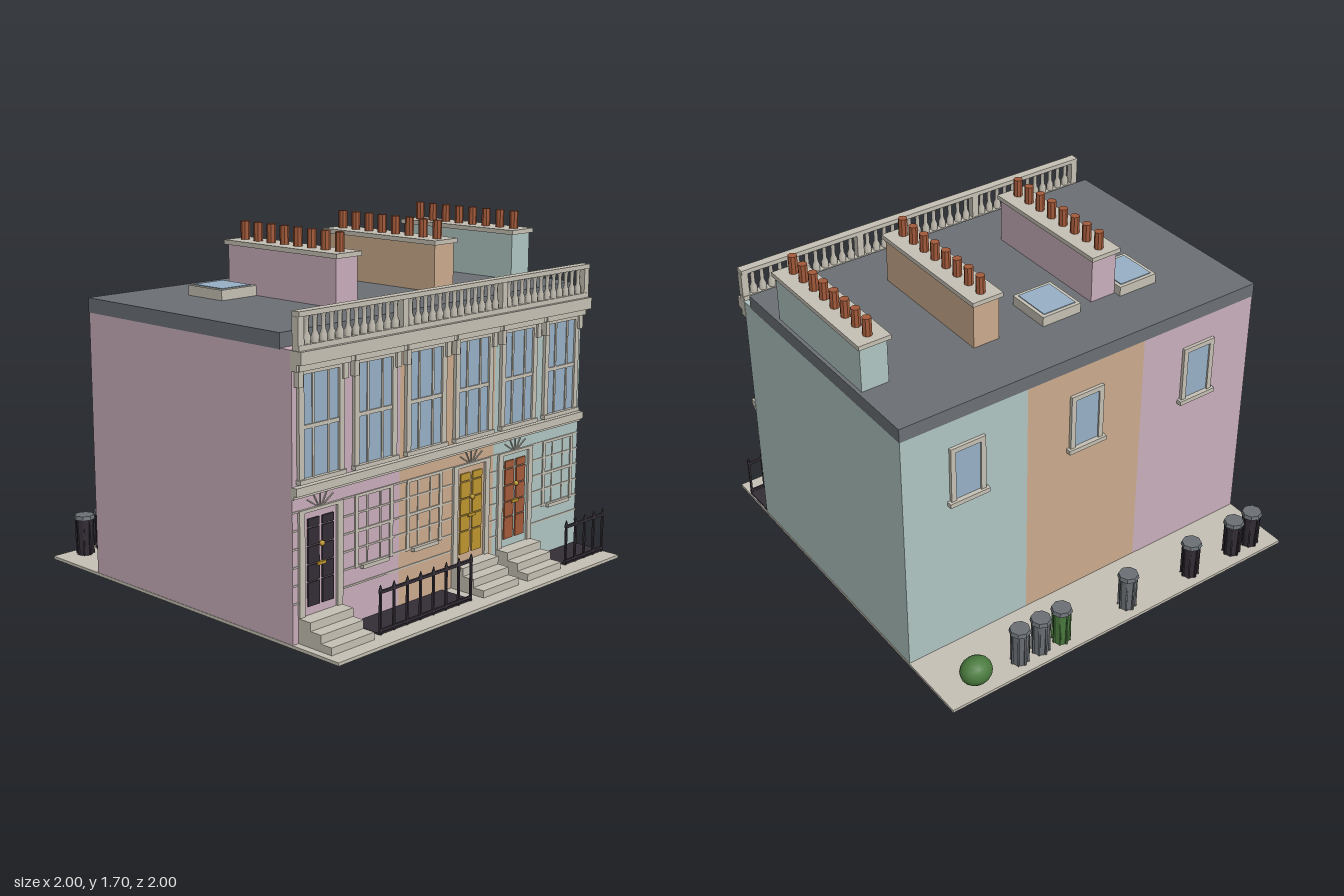
import * as THREE from 'three';

const mat = (name, color) => {
  const m = new THREE.MeshStandardMaterial({ color });
  m.name = name;
  return m;
};

export function createModel() {
  const pink = mat('pinkRender', 0xc9aebb), tan = mat('tanRender', 0xcbab8d), mint = mat('mintRender', 0xb0c5c2);
  const stone = mat('stone', 0xc5c0b4), slate = mat('slate', 0x6b7075), glass = mat('glass', 0x97b0c6);
  const dark = mat('darkIron', 0x332d36), gold = mat('yellow', 0xbd962f), rust = mat('terracotta', 0xa35a3a);
  const green = mat('green', 0x4a7a3e);
  const model = new THREE.Group();
  model.name = 'terrace';

  const group = (name, x = 0, y = 0, z = 0, parent = model) => {
    const g = new THREE.Group();
    g.name = name;
    g.position.set(x, y, z);
    parent.add(g);
    return g;
  };
  const add = (name, geo, m, parent = model) => {
    const mesh = new THREE.Mesh(geo, m);
    mesh.name = name;
    parent.add(mesh);
    return mesh;
  };
  // Box given by its limits on each axis
  const box = (name, x0, x1, y0, y1, z0, z1, m, parent = model) => {
    const b = add(name, new THREE.BoxGeometry(x1 - x0, y1 - y0, z1 - z0), m, parent);
    b.position.set((x0 + x1) / 2, (y0 + y1) / 2, (z0 + z1) / 2);
    return b;
  };
  // Faceted round part
  const round = (name, rTop, rBottom, y0, y1, sides, m, parent, x = 0, z = 0) => {
    const geo = new THREE.CylinderGeometry(rTop, rBottom, y1 - y0, sides).toNonIndexed();
    geo.computeVertexNormals();
    const c = add(name, geo, m, parent);
    c.position.set(x, (y0 + y1) / 2, z);
    return c;
  };

  // Ground, walls and roof
  box('pavement', -1, 1, 0, 0.015, -1, 1, stone);
  [pink, tan, mint].forEach((m, i) => {
    const x0 = [-0.998, -0.333, 0.33][i], x1 = [-0.333, 0.33, 0.998][i];
    box('houseWall', x0, x1, 0.015, 1.298, -0.638, 0.725, m);
  });
  box('roof', -1, 1, 1.293, 1.363, -0.64, 0.658, slate);

  // Chimney stacks with a row of pots
  [[-0.337, pink], [0.328, tan], [0.913, mint]].forEach(([x, m]) => {
    const g = group('chimney', x);
    box('stack', -0.069, 0.069, 1.36, 1.588, -0.32, 0.4, m, g);
    box('chimneyCap', -0.082, 0.082, 1.588, 1.61, -0.337, 0.413, stone, g);
    for (let i = 0; i < 8; i++) round('chimneyPot', 0.022, 0.022, 1.61, 1.698, 8, rust, g, 0, 0.354 - i * 0.09);
  });

  // Skylights
  for (const x of [-0.517, -0.067]) {
    box('skylightFrame', x - 0.108, x + 0.108, 1.36, 1.412, -0.36, -0.125, stone);
    box('skylightGlass', x - 0.09, x + 0.09, 1.41, 1.416, -0.342, -0.143, glass);
  }

  // Cornice and balustrade
  box('corniceTop', -1, 1, 1.24, 1.297, 0.72, 0.785, stone);
  box('corniceLower', -1, 1, 1.21, 1.24, 0.72, 0.757, stone);
  const parapet = group('balustrade', 0, 0, 0.747);
  box('bottomRail', -0.995, 0.995, 1.295, 1.32, -0.02, 0.02, stone, parapet);
  box('topRail', -0.995, 0.995, 1.44, 1.462, -0.023, 0.023, stone, parapet);
  const profile = [[0.018, 0], [0.018, 0.03], [0.01, 0.05], [0.01, 0.1], [0.015, 0.12]]
    .map(([r, y]) => new THREE.Vector2(r, y));
  const balusterGeo = new THREE.LatheGeometry(profile, 6);
  for (let i = 0; i <= 40; i++) {
    const x = -0.98 + i * 0.049;
    if (i === 0 || i === 13 || i === 27 || i === 40) box('pier', x - 0.018, x + 0.018, 1.32, 1.44, -0.018, 0.018, stone, parapet);
    else add('baluster', balusterGeo, stone, parapet).position.set(x, 1.32, 0);
  }

  // Band between the floors
  box('stringCourse', -1, 1, 0.677, 0.714, 0.72, 0.755, stone);
  box('stringCourseLower', -1, 1, 0.662, 0.677, 0.72, 0.738, stone);

  // Upper sash windows
  for (let i = 0; i < 6; i++) {
    const g = group('upperWindow', -0.835 + i * 0.333, 0, 0.725);
    box('pane', -0.105, 0.105, 0.74, 1.19, 0, 0.006, glass, g);
    for (const s of [-1, 1]) {
      const at = (c, w, y0, y1, z1, n) => box(n, s * c - w, s * c + w, y0, y1, 0, z1, stone, g);
      at(0.12, 0.015, 0.735, 1.2, 0.016, 'jamb');
      at(0.046, 0.006, 0.74, 1.19, 0.011, 'glazingBar');
      at(0.134, 0.014, 1.14, 1.212, 0.027, 'bracket');
    }
    box('meetingRail', -0.105, 0.105, 0.955, 0.973, 0, 0.013, stone, g);
    box('windowHead', -0.135, 0.135, 1.19, 1.212, 0, 0.016, stone, g);
    box('hood', -0.154, 0.154, 1.21, 1.236, 0, 0.04, stone, g);
    box('sill', -0.14, 0.14, 0.722, 0.742, 0, 0.026, stone, g);
  }

  // Ground floor joint lines, interrupted by the doors
  const doors = [[-0.835, dark], [0.163, gold], [0.492, rust]];
  const spans = [[-1, -0.965], [-0.705, 0.033], [0.293, 0.362], [0.622, 1]];
  for (let row = 0; row < 6; row++) {
    const y = 0.197 + row * 0.081;
    for (const [a, b] of spans) box('jointLine', a, b, y - 0.004, y + 0.004, 0.725, 0.729, stone);
  }

  // Ground floor windows, blind with raised bars
  for (const x of [-0.5, -0.165, 0.835]) {
    const g = group('lowerWindow', x, 0, 0.725);
    for (const s of [-1, 1]) {
      box('jamb', s * 0.112 - 0.01, s * 0.112 + 0.01, 0.27, 0.605, 0, 0.006, stone, g);
      box('glazingBar', s * 0.042 - 0.004, s * 0.042 + 0.004, 0.27, 0.6, 0, 0.004, stone, g);
    }
    box('windowHead', -0.122, 0.122, 0.592, 0.606, 0, 0.006, stone, g);
    box('meetingRail', -0.112, 0.112, 0.432, 0.446, 0, 0.006, stone, g);
    box('sill', -0.085, 0.085, 0.262, 0.28, 0, 0.02, stone, g);
  }

  // Panelled doors, fanlight bars and steps
  for (const [x, m] of doors) {
    const g = group('door', x, 0, 0.725);
    const rows = [0.165, 0.278, 0.356, 0.438, 0.52, 0.562];
    for (const s of [-1, 1]) {
      for (let i = 0; i < 5; i++)
        box('doorPanel', s * 0.043 - 0.034, s * 0.043 + 0.034, rows[i] + 0.003, rows[i + 1] - 0.003, 0, 0.008, m, g);
      box('pilaster', s * 0.115 - 0.016, s * 0.115 + 0.016, 0.13, 0.605, 0, 0.012, stone, g);
    }
    box('doorHead', -0.131, 0.131, 0.59, 0.605, 0, 0.012, stone, g);
    add('knob', new THREE.SphereGeometry(0.013, 8, 6), gold, g).position.set(0, 0.438, 0.014);
    box('letterPlate', -0.026, 0.026, 0.343, 0.357, 0, 0.013, gold, g);
    for (let i = -2; i <= 2; i++) {
      const bar = add('fanlightBar', new THREE.BoxGeometry(0.005, 0.075, 0.005), stone, g);
      bar.rotation.z = -i * 0.5;
      bar.position.set(Math.sin(i * 0.5) * 0.055, 0.605 + Math.cos(i * 0.5) * 0.035, 0.003);
    }
    for (let i = 0; i < 3; i++)
      box('step', -0.13, 0.13, 0.015, 0.05 + i * 0.039, 0, 0.2 - i * 0.063, stone, g);
  }

  // Sunken areas with iron railings
  for (const [x0, x1, n] of [[-0.65, -0.03, 8], [0.682, 0.995, 5]]) {
    const g = group('railing', 0, 0, 0.903);
    box('areaFloor', x0, x1, 0.015, 0.022, -0.178, 0, dark, g);
    box('topBar', x0, x1, 0.203, 0.216, -0.006, 0.006, dark, g);
    box('bottomBar', x0, x1, 0.028, 0.04, -0.005, 0.005, dark, g);
    for (let i = 0; i < n; i++) {
      const x = x0 + 0.006 + (x1 - x0 - 0.012) * i / (n - 1);
      box('railingPost', x - 0.005, x + 0.005, 0.015, 0.22, -0.005, 0.005, dark, g);
      round('finial', 0.002, 0.01, 0.216, 0.242, 6, dark, g, x);
    }
  }

  // Rear windows
  for (const x of [-0.667, 0, 0.66]) {
    const g = group('rearWindow', x, 0, -0.638);
    box('pane', -0.07, 0.07, 0.87, 1.135, -0.008, 0, glass, g);
    for (const s of [-1, 1]) box('jamb', s * 0.08 - 0.013, s * 0.08 + 0.013, 0.86, 1.155, -0.016, 0, stone, g);
    box('windowHead', -0.093, 0.093, 1.13, 1.155, -0.016, 0, stone, g);
    box('sill', -0.107, 0.107, 0.845, 0.867, -0.028, 0, stone, g);
  }

  // Dustbins
  const bins = [[-0.863, dark], [-0.743, dark], [-0.465, dark], [-0.067, slate], [0.333, green], [0.453, slate], [0.573, slate]];
  for (const [x, m] of bins) {
    const g = group('dustbin', x, 0, -0.92);
    round('binBody', 0.045, 0.038, 0.015, 0.2, 8, m, g);
    for (let i = 0; i < 8; i++) {
      const a = i * Math.PI / 4;
      const rib = box('binRib', -0.004, 0.004, 0.02, 0.2, -0.004, 0.004, m, g);
      rib.position.x = Math.sin(a) * 0.042;
      rib.position.z = Math.cos(a) * 0.042;
      rib.rotation.y = a;
    }
    round('binLid', 0.048, 0.053, 0.2, 0.22, 8, slate, g);
  }

  // Clipped bush
  const bush = add('bush', new THREE.IcosahedronGeometry(0.07, 2), green);
  bush.scale.set(1.15, 1, 1);
  bush.position.set(0.812, 0.084, -0.91);
  return model;
}
